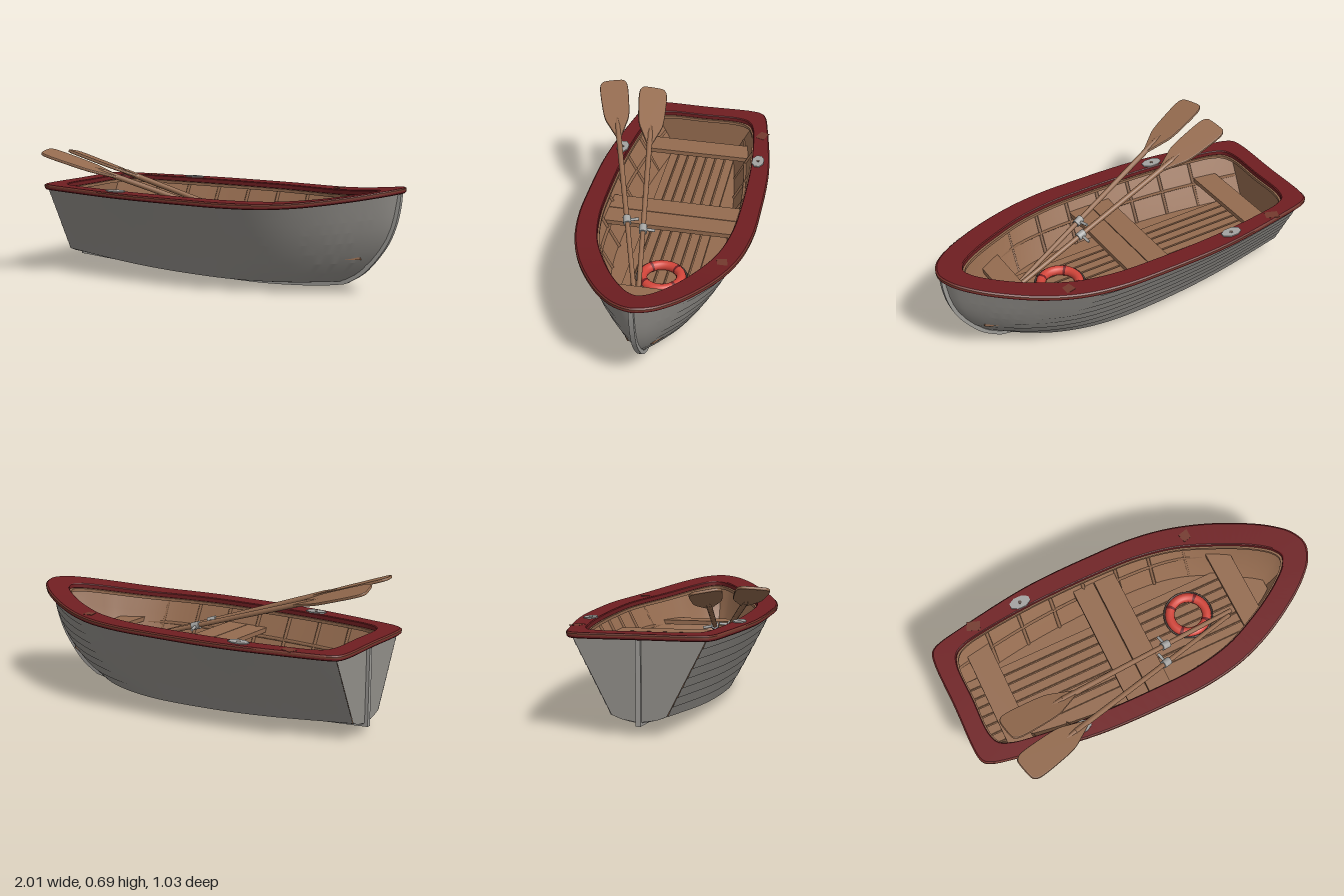
import * as THREE from 'three';
import { toCreasedNormals, mergeGeometries } from 'three/addons/utils/BufferGeometryUtils.js';

const mat = (name, color, side = THREE.FrontSide) => {
  const m = new THREE.MeshStandardMaterial({ color, side });
  m.name = name;
  return m;
};

// Smooth interpolation through [x, y] pairs
function interp(p, x) {
  const n = p.length;
  x = Math.min(Math.max(x, p[0][0]), p[n - 1][0]);
  let i = 0;
  while (i < n - 2 && x > p[i + 1][0]) i++;
  const slope = k => {
    const a = p[Math.max(k - 1, 0)], b = p[Math.min(k + 1, n - 1)];
    return (b[1] - a[1]) / (b[0] - a[0]);
  };
  const h = p[i + 1][0] - p[i][0], t = (x - p[i][0]) / h, t2 = t * t, t3 = t2 * t;
  return (2 * t3 - 3 * t2 + 1) * p[i][1] + (t3 - 2 * t2 + t) * h * slope(i)
    + (3 * t2 - 2 * t3) * p[i + 1][1] + (t3 - t2) * h * slope(i + 1);
}

// Surface from a function of row and column
function grid(rows, cols, fn, crease = 0.5) {
  const pos = [], idx = [];
  for (let i = 0; i <= rows; i++) for (let j = 0; j <= cols; j++) pos.push(...fn(i, j));
  for (let i = 0; i < rows; i++) for (let j = 0; j < cols; j++) {
    const a = i * (cols + 1) + j, b = a + cols + 1;
    idx.push(a, a + 1, b, a + 1, b + 1, b);
  }
  const g = new THREE.BufferGeometry();
  g.setAttribute('position', new THREE.Float32BufferAttribute(pos, 3));
  g.setIndex(idx);
  return toCreasedNormals(g, crease);
}

// Hull lines: half-widths and heights along the length, stem position up the side
const STERN = -0.968;
const TOP = [[-0.98, 0.315], [-0.8, 0.355], [-0.4, 0.415], [0, 0.43], [0.3, 0.415], [0.5, 0.37], [0.7, 0.275], [0.85, 0.17], [0.95, 0.07], [0.98, 0]];
const CHINE = [[-0.98, 0.13], [-0.5, 0.195], [0, 0.222], [0.25, 0.203], [0.45, 0.145], [0.6, 0.06], [0.68, 0]];
const CHINE_Y = [[-0.98, 0.093], [-0.4, 0.06], [0.1, 0.05], [0.5, 0.054], [0.68, 0.058]];
const KEEL_Y = [[-0.98, 0.06], [-0.5, 0.036], [0.1, 0.02], [0.4, 0.03], [0.68, 0.058]];
const RIM_Y = [[-1, 0.455], [0, 0.455], [0.4, 0.458], [0.6, 0.472], [0.8, 0.5], [1, 0.535]];
const STEM = [[0, 0.68], [0.16, 0.8], [0.42, 0.9], [0.66, 0.95], [1, 0.98]];

function hullPoint(u, v, out = 0) {
  const xc = STERN + u * (0.68 - STERN), xt = STERN + u * (0.98 - STERN);
  const c = interp(CHINE, xc), t = interp(TOP, xt), yc = interp(CHINE_Y, xc);
  const hollow = 1 + 0.25 * THREE.MathUtils.smoothstep(u, 0.7, 1);
  const half = c + (t - c) * Math.pow(v, hollow) + out * Math.min(1, (1 - u) * 10);
  return [STERN + u * (interp(STEM, v) - STERN), yc + (interp(RIM_Y, xt) - yc) * v, Math.max(0, half)];
}
// Inner half-width at a given length and height
function halfAt(x, y) {
  const v = Math.min(1, Math.max(0, (y - 0.055) / (interp(RIM_Y, x) - 0.055)));
  const u = Math.min(1, (x - STERN) / (interp(STEM, v) - STERN));
  return Math.max(0, hullPoint(u, v, -0.022)[2]);
}

export function createModel() {
  const root = new THREE.Group(), boat = new THREE.Group();
  boat.name = 'boat';
  boat.position.z = -0.062;
  root.add(boat);
  const hullGrey = mat('hullGrey', 0x918e89, THREE.DoubleSide), keelGrey = mat('keelGrey', 0x9c9a96);
  const wood = mat('wood', 0x946b4f, THREE.DoubleSide);
  const red = mat('rimRed', 0x6f1e21), worn = mat('wornRim', 0x743a2e), buoyRed = mat('buoyRed', 0xd2453a);
  const metal = mat('metal', 0xa3a3a1), rope = mat('rope', 0x5d4f48);
  const add = (name, geo, m, x = 0, y = 0, z = 0, parent = boat) => {
    const mesh = new THREE.Mesh(geo, m);
    mesh.name = name;
    mesh.position.set(x, y, z);
    parent.add(mesh);
    return mesh;
  };
  const box = (w, h, d) => new THREE.BoxGeometry(w, h, d);

  // Lapped planks, rounded bottom and lining on each side
  const laps = [], N = 56, along = j => 1 - Math.pow(1 - j / N, 1.5);
  for (let k = 0; k < 8; k++) laps.push([k / 8, 0], [k / 8, 0.003]);
  laps.push([1, 0]);
  for (const s of [1, -1]) {
    const flip = p => [p[0], p[1], p[2] * s];
    const col = j => along(s > 0 ? j : N - j);
    add('sidePlanks', grid(laps.length - 1, N, (i, j) => flip(hullPoint(col(j), laps[i][0], laps[i][1]))), hullGrey);
    add('bottom', grid(5, N, (i, j) => {
      const p = hullPoint(col(j), 0), k = i / 5, low = interp(KEEL_Y, p[0]);
      return flip([p[0], low + (p[1] - low) * Math.pow(k, 1.7), p[2] * k]);
    }), hullGrey);
    add('lining', grid(9, N, (i, j) => {
      const u = col(j), p = hullPoint(u, Math.max(0, i - 1) / 8, -0.02);
      if (!i) p[2] = 0;
      p[0] -= 0.035 * u;
      p[1] += i < 2 ? 0.02 : 0;
      return flip(p);
    }), wood);
  }

  // Transom, outside and inside
  const t = new THREE.Shape([[0, 0.06], [0.085, 0.074], [0.131, 0.093], [0.318, 0.457], [-0.318, 0.457], [-0.131, 0.093], [-0.085, 0.074]]
    .map(p => new THREE.Vector2(...p)));
  const transom = new THREE.ShapeGeometry(t).rotateY(-Math.PI / 2);
  add('transom', transom, hullGrey, STERN);
  add('transomLining', transom, wood, STERN + 0.022);

  // Keel, stem and stern post in one strip
  const line = new THREE.SplineCurve([[-0.983, 0.045], [-0.5, 0.018], [0.1, 0], [0.45, 0.014], [0.66, 0.04], [0.72, 0.062], [0.81, 0.125],
    [0.91, 0.25], [0.96, 0.36], [0.983, 0.46], [0.99, 0.535]].map(p => new THREE.Vector2(...p))).getPoints(60);
  const inner = line.map(p => {
    const s = THREE.MathUtils.smoothstep(p.x, 0.6, 0.9);
    return new THREE.Vector2(p.x - 0.025 * s, Math.min(0.535, p.y + 0.025 - 0.018 * s));
  }).reverse();
  const strip = new THREE.Shape([...line, ...inner]);
  add('keelAndStem', new THREE.ExtrudeGeometry(strip, { depth: 0.024, bevelEnabled: false }), keelGrey, 0, 0, -0.012);
  add('sternPost', box(0.018, 0.41, 0.024), keelGrey, -0.976, 0.25, 0);

  // Wide rim following the sheer
  const loop = half => new THREE.CatmullRomCurve3([...half, ...half.slice(1, -1).reverse().map(p => [p[0], -p[1]])]
    .map(p => new THREE.Vector3(p[0], 0, p[1])), true);
  const outerRim = loop([[-1, 0], [-1, 0.28], [-0.985, 0.325], [-0.95, 0.348], [-0.8, 0.382], [-0.4, 0.445], [0, 0.457], [0.2, 0.452],
    [0.4, 0.42], [0.6, 0.35], [0.8, 0.24], [0.9, 0.165], [0.97, 0.088], [1, 0]]);
  const innerRim = loop([[-0.9, 0], [-0.9, 0.2], [-0.875, 0.262], [-0.82, 0.292], [-0.7, 0.315], [-0.4, 0.345], [0, 0.352], [0.2, 0.342],
    [0.4, 0.302], [0.56, 0.235], [0.7, 0.16], [0.8, 0.09], [0.845, 0.045], [0.865, 0]]);
  const ring = (section, n = 156) => grid(section.length - 1, n, (i, j) => {
    const k = (j % n) / n, p = outerRim.getPoint(k).lerp(innerRim.getPoint(k), section[i][0]);
    return [p.x, interp(RIM_Y, p.x) + section[i][1], p.z];
  });
  add('rim', ring([[0.05, -0.008], [0, -0.003], [0, 0.014], [0.06, 0.02], [0.96, 0.02], [1, 0.016], [1, -0.004], [0.96, -0.008], [0.05, -0.008]]), red);
  add('rimWornEdge', ring([[-0.01, 0.005], [-0.01, 0.014], [0.02, 0.018]]), worn);
  add('inwale', ring([[0.94, -0.006], [1.08, -0.006], [1.08, -0.022], [0.94, -0.022], [0.94, -0.006]]), wood);
  for (const [x, z] of [[-0.74, -0.36], [0.48, -0.34]]) {
    add('wornPatch', box(0.07, 0.003, 0.05), worn, x, interp(RIM_Y, x) + 0.0195, z).rotation.y = x * 0.5;
  }

  // Oarlock plates on the rim
  for (const s of [1, -1]) {
    const plate = new THREE.CylinderGeometry(0.058, 0.058, 0.007, 8).rotateY(Math.PI / 8).scale(1, 1, 0.58);
    add('oarlockPlate', plate, metal, -0.47, 0.477, s * 0.375);
    add('oarlockSocket', new THREE.CylinderGeometry(0.01, 0.01, 0.009, 12), rope, -0.47, 0.477, s * 0.375);
  }

  // Board trimmed to the hull between two stations
  const board = (name, x0, x1, y, depth, steps) => {
    const edge = [];
    for (let i = 0; i <= steps; i++) {
      const x = x0 + (x1 - x0) * i / steps;
      edge.push(new THREE.Vector2(x, halfAt(x, y) + 0.006));
    }
    const s = new THREE.Shape([...edge.map(p => new THREE.Vector2(p.x, -p.y)), ...edge.reverse()]);
    add(name, new THREE.ExtrudeGeometry(s, { depth, bevelEnabled: false }).rotateX(Math.PI / 2), wood, 0, y, 0);
  };

  // Floor with slats on top, and benches
  const FLOOR = 0.2;
  board('floor', -0.945, 0.8, FLOOR, 0.012, 24);
  for (let k = -3; k <= 3; k++) {
    const x1 = 0.7 - Math.abs(k) * 0.04;
    add('floorSlat', box(x1 + 0.9, 0.014, 0.045), wood, (x1 - 0.9) / 2, FLOOR + 0.007, k * 0.054);
  }
  [[-0.83, -0.70, 0.34], [-0.18, -0.062, 0.355], [-0.058, 0.062, 0.355], [0.555, 0.675, 0.335]]
    .forEach(([x0, x1, y]) => board('bench', x0, x1, y, 0.024, 1));

  // Ribs and stringers along the inside
  const tube = pts => new THREE.TubeGeometry(new THREE.CatmullRomCurve3(pts), 24, 0.01, 4);
  for (const s of [1, -1]) {
    for (let x = -0.69; x < 0.6; x += 0.19) {
      const pts = [FLOOR, 0.26, 0.32, 0.38, 0.45].map(y => new THREE.Vector3(x, y, s * halfAt(x, y)));
      add('rib', tube(pts), wood);
    }
    const run = [];
    for (let x = -0.94; x <= 0.8; x += 0.12) run.push(new THREE.Vector3(x, 0.31, s * halfAt(x, 0.31)));
    add('stringer', tube(run), wood);
  }

  // Life ring with bands and grab rope, lying on the floor
  const buoy = new THREE.Group();
  buoy.name = 'lifeRing';
  buoy.position.set(0.335, FLOOR + 0.04, -0.01);
  buoy.rotation.x = -Math.PI / 2;
  boat.add(buoy);
  add('ring', new THREE.TorusGeometry(0.099, 0.025, 14, 40), buoyRed, 0, 0, 0, buoy);
  for (let k = 0; k < 4; k++) {
    const band = add('ringBand', new THREE.TorusGeometry(0.099, 0.027, 12, 5, 0.16), red, 0, 0, 0, buoy);
    band.rotation.z = k * Math.PI / 2 + Math.PI / 4 - 0.08;
  }
  add('grabRope', new THREE.TorusGeometry(0.129, 0.005, 6, 40), rope, 0, 0, 0, buoy);

  // Oars: shaft, shaped blade and collar, laid from handle to tip
  const oar = (name, handle, tip, collarAt, roll) => {
    const a = new THREE.Vector3(...handle), b = new THREE.Vector3(...tip), len = a.distanceTo(b);
    const X = a.clone().sub(b).normalize(), Z = X.clone().cross(new THREE.Vector3(0, 1, 0)).normalize(), Y = Z.clone().cross(X);
    const g = new THREE.Group();
    g.name = name;
    g.quaternion.setFromRotationMatrix(new THREE.Matrix4().makeBasis(X, Y, Z));
    g.rotateX(roll);
    g.position.copy(b);
    root.add(g);
    const shaft = new THREE.CylinderGeometry(0.012, 0.015, len - 0.34, 12).rotateZ(-Math.PI / 2);
    add('shaft', shaft, wood, 0.34 + (len - 0.34) / 2, 0, 0, g);
    const half = [[0.42, 0.014], [0.34, 0.045], [0.27, 0.068], [0.15, 0.077], [0.05, 0.078], [0.012, 0.066], [0, 0.04]];
    const pts = [...half, ...half.map(p => [p[0], -p[1]]).reverse()].map(p => new THREE.Vector2(...p));
    const blade = new THREE.ExtrudeGeometry(new THREE.Shape(new THREE.SplineCurve(pts).getPoints(60)),
      { depth: 0.006, bevelThickness: 0.005, bevelSize: 0.006, bevelOffset: -0.006, bevelSegments: 2 }).rotateX(Math.PI / 2);
    add('blade', blade, wood, 0, 0.003, 0, g);
    add('bladeSpine', new THREE.CylinderGeometry(0.015, 0.004, 0.12, 10).rotateZ(-Math.PI / 2), wood, 0.29, 0, 0, g);
    const collar = mergeGeometries([
      new THREE.CylinderGeometry(0.021, 0.021, 0.045, 12).rotateZ(Math.PI / 2),
      new THREE.CylinderGeometry(0.008, 0.008, 0.055, 8).rotateX(Math.PI / 2).translate(0, 0, -0.035)]);
    add('oarlock', collar, metal, len * collarAt, 0, 0, g);
  };
  oar('outerOar', [0.53, 0.24, 0.025], [-0.825, 0.678, 0.447], 0.67, 0.08);
  oar('innerOar', [0.55, 0.24, 0.005], [-0.825, 0.658, 0.215], 0.69, -0.18);

  return root;
}
